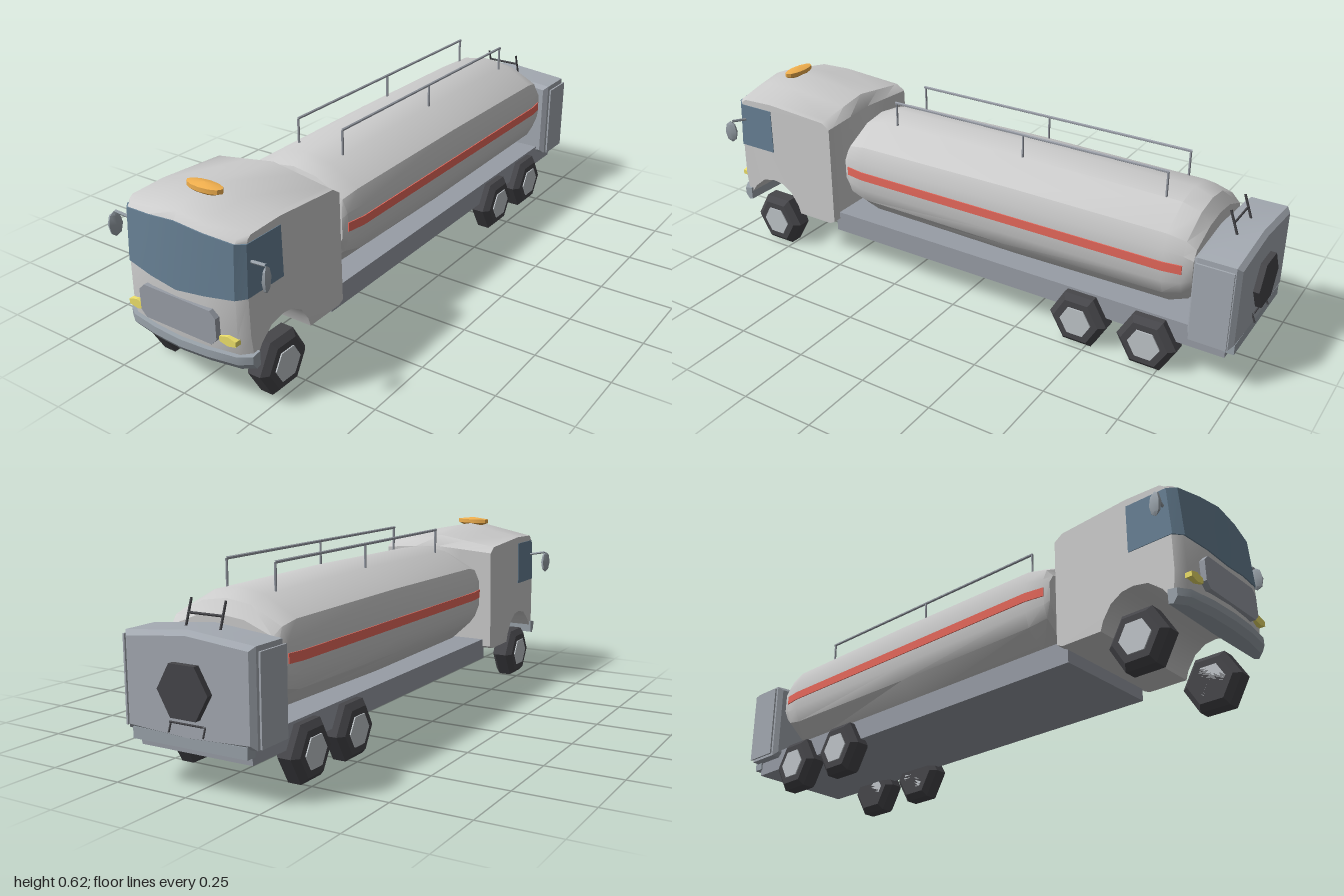
import * as THREE from 'three';
import { toCreasedNormals } from 'three/addons/utils/BufferGeometryUtils.js';

const mat = (color) => new THREE.MeshStandardMaterial({ color });
const body = mat(0xcccccc), steel = mat(0x989da6), trim = mat(0x9aa3ab), dark = mat(0x46464a);
const glass = mat(0x678094), red = mat(0xe8695c), yellow = mat(0xeee06a), amber = mat(0xf2b04e);
const hubMat = mat(0xbfc5c9), panel = mat(0xa4aab2);

export function createModel() {
  const root = new THREE.Group();
  const clamp = THREE.MathUtils.clamp;

  function add(name, geo, material, x = 0, y = 0, z = 0, crease = 0.5) {
    const mesh = new THREE.Mesh(toCreasedNormals(geo, crease), material);
    mesh.name = name;
    mesh.position.set(x, y, z);
    root.add(mesh);
    return mesh;
  }
  const box = (name, w, h, d, m, x, y, z) => add(name, new THREE.BoxGeometry(w, h, d), m, x, y, z);
  const shapeOf = (pts) => new THREE.Shape(pts.map((p) => new THREE.Vector2(p[0], p[1])));

  // Straight thin bar between two points
  function bar(name, a, b, r, m) {
    const path = new THREE.LineCurve3(new THREE.Vector3(...a), new THREE.Vector3(...b));
    add(name, new THREE.TubeGeometry(path, 1, r, 6), m);
  }

  // Side profile (z, y) swept across the cab, with a bowed nose and crowned roof
  function cabSweep(pts, halfWidth, bottomDip = 0) {
    const geo = new THREE.ExtrudeGeometry(shapeOf(pts), { depth: 6, steps: 6, bevelEnabled: false });
    geo.rotateY(-Math.PI / 2);
    const p = geo.attributes.position;
    for (let i = 0; i < p.count; i++) {
      const k = Math.round(p.getX(i)) + 3, s = Math.abs(k);
      let y = p.getY(i), z = p.getZ(i);
      const x = [0, 0.1, 0.2, halfWidth - Math.max(0, y - 0.2) * 0.02][s];
      const mid = 1 - x / 0.225;
      z -= [0, 0.005, 0.02, 0.045][s] * clamp((z - 0.93) / 0.05, 0, 1);
      y += clamp(y - 0.505, 0, 0.045) * mid;
      if (y < 0.4) y -= bottomDip * mid;
      p.setXYZ(i, Math.sign(k) * x, y, z);
    }
    return geo;
  }

  // Skin over closed rings, listed front to back, each clockwise seen from the front
  function loft(rings) {
    const n = rings[0].length, index = [];
    rings.forEach((_, i) => {
      if (i === rings.length - 1) return;
      for (let j = 0; j < n; j++) {
        const a = i * n + j, b = i * n + (j + 1) % n;
        index.push(a, b, a + n, b, b + n, a + n);
      }
    });
    const last = (rings.length - 1) * n;
    for (let j = 1; j < n - 1; j++) index.push(0, j + 1, j, last, last + j, last + j + 1);
    const geo = new THREE.BufferGeometry();
    geo.setAttribute('position', new THREE.Float32BufferAttribute(rings.flat(2), 3));
    geo.setIndex(index);
    return geo;
  }

  // Cab with wheel arch
  add('cab', cabSweep([
    [0.53, 0.16], [0.55, 0.15], [0.69, 0.15], [0.70, 0.18], [0.73, 0.225], [0.77, 0.25], [0.81, 0.255],
    [0.86, 0.245], [0.90, 0.215], [0.925, 0.18], [0.985, 0.18], [0.993, 0.25], [0.992, 0.37],
    [0.982, 0.53], [0.965, 0.54], [0.92, 0.55], [0.8, 0.555], [0.56, 0.54], [0.53, 0.52],
  ], 0.228), body, 0, 0, 0, 0.65);
  add('windows', cabSweep([[0.8, 0.37], [0.996, 0.37], [0.986, 0.53], [0.8, 0.53]], 0.23, 0.025), glass);
  add('frontBumper', cabSweep([
    [0.925, 0.15], [0.985, 0.145], [1, 0.165], [1, 0.19], [0.925, 0.195],
  ], 0.236, 0.004), trim);

  // Grille plate
  const gx = 0.145, g0 = 0.215, g1 = 0.322, c = 0.02;
  add('grille', new THREE.ExtrudeGeometry(shapeOf([
    [-gx + c, g0], [gx - c, g0], [gx, g0 + c], [gx, g1 - c], [gx - c, g1], [c - gx, g1], [-gx, g1 - c], [-gx, g0 + c],
  ]), { depth: 0.03, bevelEnabled: false }), steel, 0, 0, 0.969);

  // Roof beacon
  const beacon = [[0, 0], [0.045, 0], [0.066, 0.008], [0.066, 0.022], [0, 0.03]];
  add('beacon', new THREE.LatheGeometry(beacon.map((p) => new THREE.Vector2(...p)), 12)
    .scale(1, 1, 0.4), amber, 0, 0.592, 0.853);

  for (const s of [1, -1]) {
    // Headlights
    add('headlight', new THREE.ExtrudeGeometry(shapeOf([
      [-0.03, -0.008], [0, -0.015], [0.03, -0.008], [0.03, 0.008], [0, 0.016], [-0.03, 0.008],
    ]), { depth: 0.03, bevelEnabled: false }), yellow, s * 0.175, 0.236, 0.958);
    // Mirrors on arms
    const mirror = add('mirror', new THREE.SphereGeometry(1, 6, 4).scale(0.01, 0.041, 0.025), trim, s * 0.286, 0.445, 0.94);
    mirror.rotation.y = s * 0.3;
    bar('mirrorArm', [s * 0.215, 0.472, 0.925], [s * 0.284, 0.485, 0.937], 0.005, trim);
    // Tank top rails
    bar('railBar', [s * 0.087, 0.62, 0.335], [s * 0.087, 0.62, -0.685], 0.005, steel);
    for (const z of [0.33, -0.175, -0.68]) bar('railPost', [s * 0.087, 0.53, z], [s * 0.087, 0.62, z], 0.004, steel);
    // Side panel, roof post and rear handle leg of the cabinet
    box('cabinetShutter', 0.006, 0.265, 0.12, panel, s * 0.235, 0.298, -0.905);
    bar('cabinetPost', [s * 0.06, 0.45, -0.905], [s * 0.06, 0.535, -0.875], 0.004, dark);
    bar('handleLeg', [s * 0.06, 0.205, -0.978], [s * 0.06, 0.175, -0.99], 0.003, dark);
    // Six-sided wheels
    for (const z of [0.81, -0.465, -0.705]) {
      const tyre = [[0, -0.04], [0.08, -0.04], [0.102, -0.022], [0.102, 0.022], [0.08, 0.04], [0, 0.04]];
      add('tyre', new THREE.LatheGeometry(tyre.map((p) => new THREE.Vector2(...p)), 6)
        .rotateZ(Math.PI / 2), dark, s * 0.195, 0.089, z);
      add('hub', new THREE.CylinderGeometry(0.055, 0.055, 0.084, 6).rotateZ(Math.PI / 2), hubMat, s * 0.197, 0.089, z);
    }
  }

  // Chassis
  box('chassis', 0.39, 0.075, 1.495, steel, 0, 0.148, -0.203);

  // Tank and its stripe share the same lengthwise taper: z, width scale, height scale
  const stations = [
    [0.485, 0.91, 0.6], [0.467, 0.95, 0.83], [0.4, 1, 0.96], [-0.17, 1, 1],
    [-0.735, 1, 0.96], [-0.795, 0.96, 0.83], [-0.825, 0.91, 0.6],
  ];
  const ringAt = (half, [z, sx, sy]) => {
    const pts = half.map(([x, y]) => [x * sx, 0.375 + (y - 0.375) * sy, z]);
    return [...pts, ...pts.filter((p) => p[0] > 0).reverse().map(([x, y]) => [-x, y, z])];
  };
  const tankHalf = [
    [0, 0.557], [0.09, 0.542], [0.195, 0.48], [0.215, 0.43], [0.216, 0.32], [0.2, 0.27], [0.13, 0.202],
  ];
  add('tank', loft(stations.map((s) => ringAt(tankHalf, s))), body);
  add('tankStripe', loft(stations.slice(1, -1).map(([z, sx]) =>
    ringAt([[0.219, 0.39], [0.219, 0.36]], [z, sx, 1]))), red);

  // Rear cabinet with a slightly peaked roof and bevelled edges
  add('rearCabinet', new THREE.ExtrudeGeometry(shapeOf([
    [-0.21, 0.175], [0, 0.165], [0.21, 0.175], [0.21, 0.43], [0, 0.45], [-0.21, 0.43],
  ]), { depth: 0.12, bevelThickness: 0.014, bevelSize: 0.015, bevelSegments: 1 }), panel, 0, 0, -0.966);
  box('rearSkirt', 0.4, 0.035, 0.035, trim, 0, 0.152, -0.962);
  bar('cabinetCrossbar', [-0.06, 0.495, -0.89], [0.06, 0.495, -0.89], 0.004, dark);
  bar('rearHandle', [-0.06, 0.205, -0.984], [0.06, 0.205, -0.984], 0.003, dark);
  add('rearHatch', new THREE.CylinderGeometry(0.088, 0.088, 0.025, 6).rotateY(Math.PI / 6)
    .rotateX(Math.PI / 2), dark, 0, 0.298, -0.9875);

  return root;
}
